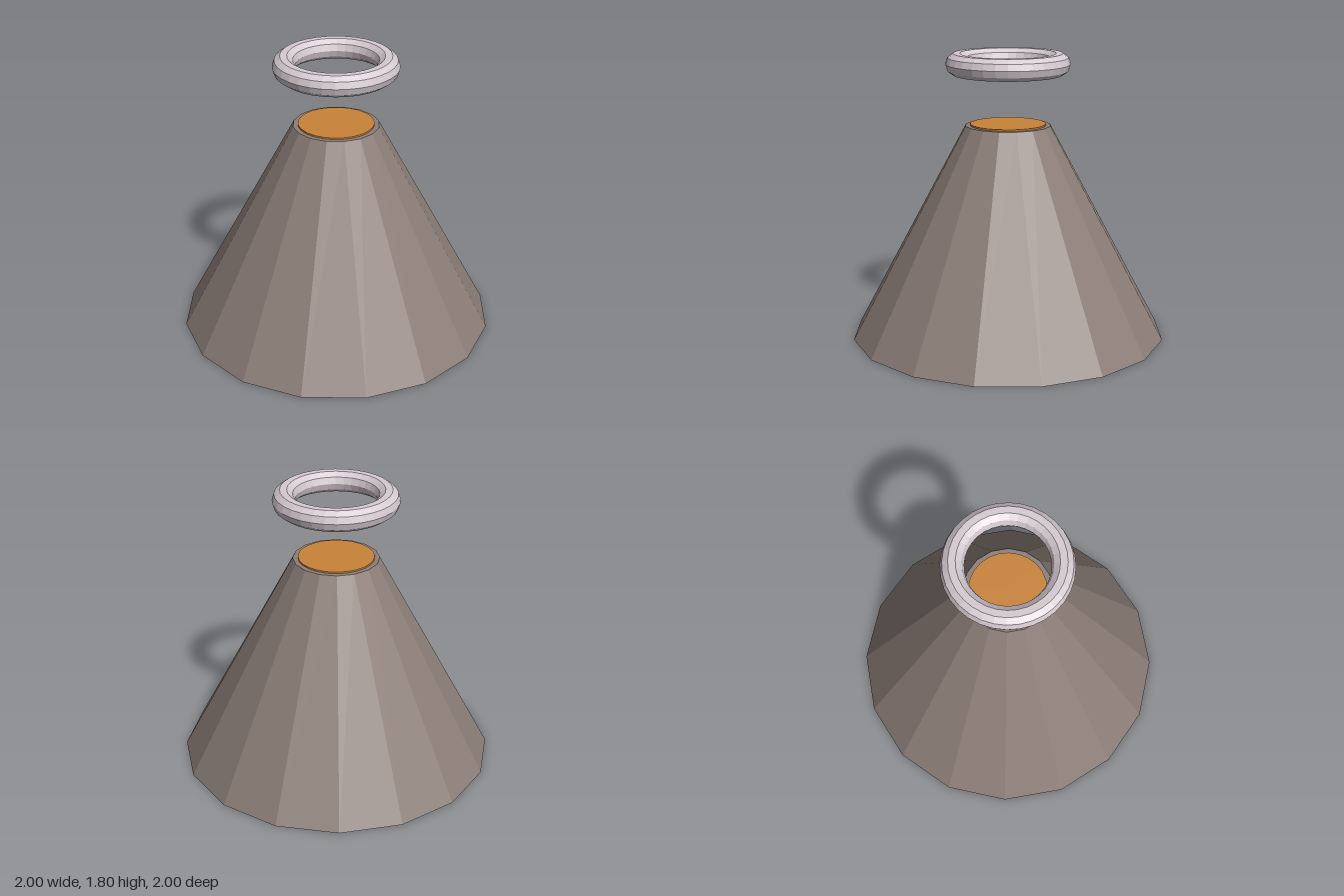
import * as THREE from 'three';

const flat = (name, color) => {
  const material = new THREE.MeshStandardMaterial({ color, flatShading: true });
  material.name = name;
  return material;
};

export function createModel() {
  const group = new THREE.Group();
  group.name = 'volcano';
  const add = (name, geometry, material, y) => {
    const mesh = new THREE.Mesh(geometry, material);
    mesh.name = name;
    mesh.position.y = y;
    group.add(mesh);
  };

  // Sixteen-sided truncated mountain
  add('mountain', new THREE.CylinderGeometry(0.27, 1, 1.354, 16), flat('rock', 0x8d7f79), 0.677);

  // Thin molten disc lying on the summit
  add('lavaDisc', new THREE.CylinderGeometry(0.238, 0.238, 0.01, 24), flat('lava', 0xc9833a), 1.359);

  // Smoke ring floating above the crater
  const ring = new THREE.TorusGeometry(0.32, 0.07, 10, 32).rotateX(-Math.PI / 2);
  add('smokeRing', ring, flat('smoke', 0xd6cbd1), 1.738);

  return group;
}
